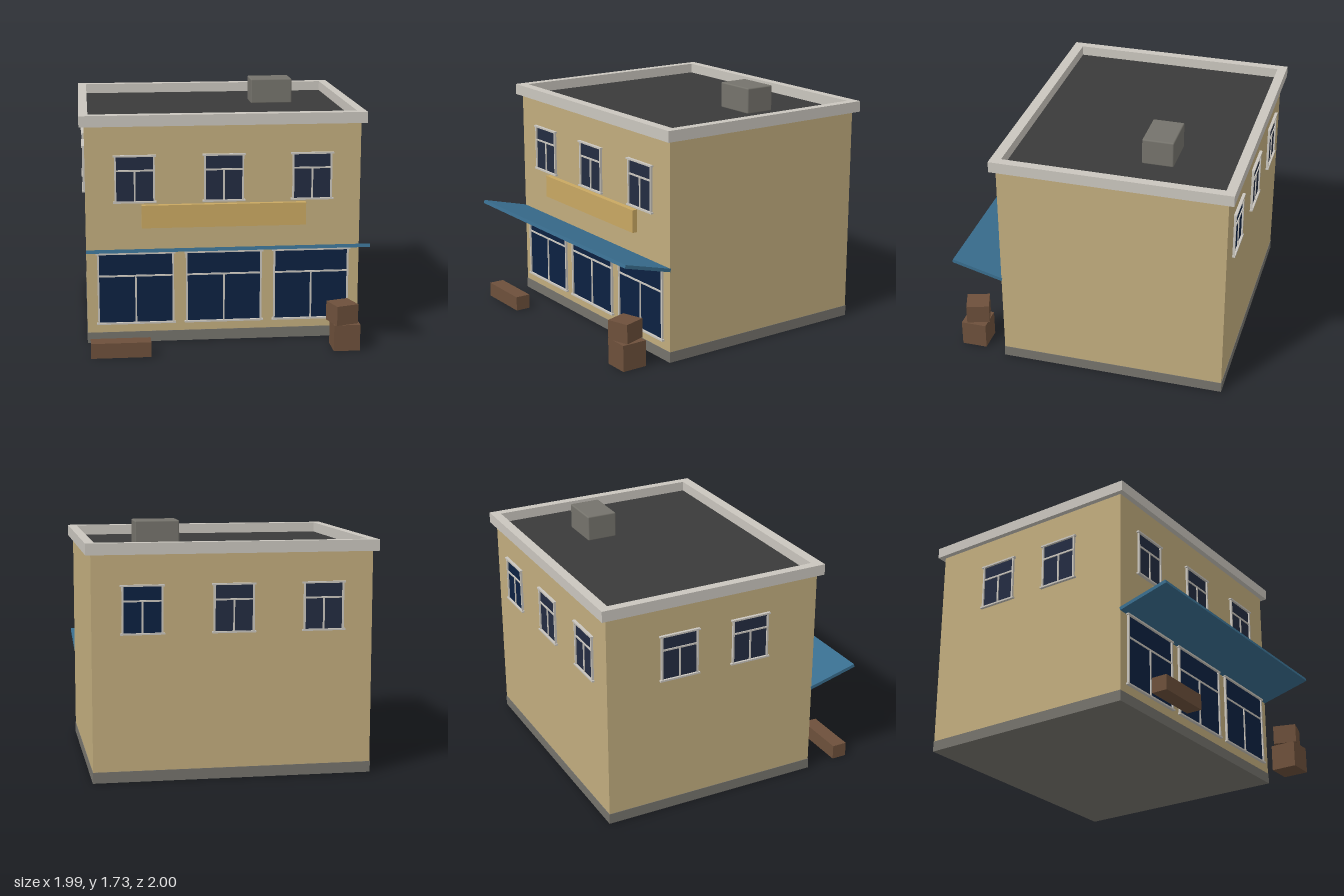
import * as THREE from 'three';
import { RoundedBoxGeometry } from 'three/addons/geometries/RoundedBoxGeometry.js';

function paint(name, color) {
  const m = new THREE.MeshStandardMaterial({ color });
  m.name = name;
  return m;
}

export function createModel() {
  const wall = paint('sand plaster', 0xc2ad7e);
  const trim = paint('pale stone', 0xcac6be);
  const tar = paint('roof tar', 0x3a3a3a);
  const grey = paint('grey concrete', 0x75736c);
  const signPaint = paint('ochre sign', 0xc9a862);
  const blue = paint('awning blue', 0x396e8f);
  const wood = paint('crate wood', 0x6d503b);
  const litGlass = paint('blue glass', 0x0c2142);
  const dimGlass = paint('slate glass', 0x232c42);

  const model = new THREE.Group();
  model.name = 'shopBuilding';

  function add(parent, name, geometry, material, x = 0, y = 0, z = 0) {
    const mesh = new THREE.Mesh(geometry, material);
    mesh.name = name;
    mesh.position.set(x, y, z);
    parent.add(mesh);
    return mesh;
  }
  // Box given by its lower and upper limits on each axis
  function box(parent, name, material, [x0, x1], [y0, y1], [z0, z1]) {
    return add(parent, name, new THREE.BoxGeometry(x1 - x0, y1 - y0, z1 - z0), material,
      (x0 + x1) / 2, (y0 + y1) / 2, (z0 + z1) / 2);
  }

  // Main body
  box(model, 'base', grey, [-0.96, 0.96], [0, 0.075], [-0.96, 0.64]);
  box(model, 'walls', wall, [-0.957, 0.957], [0.075, 1.54], [-0.957, 0.637]);
  box(model, 'roof', tar, [-0.94, 0.94], [1.53, 1.545], [-0.94, 0.61]);

  // Parapet: a rectangular ring lying on the wall tops
  const ring = new THREE.Shape([[-0.993, -0.675], [0.993, -0.675], [0.993, 0.997], [-0.993, 0.997]]
    .map(([x, y]) => new THREE.Vector2(x, y)));
  ring.holes.push(new THREE.Path([[-0.93, -0.602], [-0.93, 0.93], [0.93, 0.93], [0.93, -0.602]]
    .map(([x, y]) => new THREE.Vector2(x, y))));
  const ringGeometry = new THREE.ExtrudeGeometry(ring, { depth: 0.077, bevelEnabled: false });
  ringGeometry.rotateX(-Math.PI / 2);
  add(model, 'parapet', ringGeometry, trim, 0, 1.539, 0);

  // Roof vent with softened edges
  add(model, 'roofVent', new RoundedBoxGeometry(0.31, 0.185, 0.22, 2, 0.01), grey, 0.455, 1.633, -0.393);

  // Window facing +z, centred on x, standing on y = 0
  function makeWindow(name, halfWidth, height, glass) {
    const g = new THREE.Group();
    g.name = name;
    const bar = 0.012;
    const inner = halfWidth - bar;
    const transom = height * 0.674;
    box(g, 'glass', glass, [-inner, inner], [bar, height - bar], [-0.004, 0.004]);
    for (const s of [-1, 1]) {
      const jamb = box(g, 'jamb', trim, [inner, halfWidth], [0, height], [-0.004, 0.015]);
      jamb.position.x *= s;
    }
    box(g, 'sill', trim, [-halfWidth - 0.01, halfWidth + 0.01], [0, bar], [-0.004, 0.02]);
    box(g, 'head', trim, [-halfWidth - 0.01, halfWidth + 0.01], [height - bar, height], [-0.004, 0.02]);
    box(g, 'transom', trim, [-inner, inner], [transom - 0.006, transom + 0.006], [0, 0.011]);
    box(g, 'mullion', trim, [-0.006, 0.006], [bar, transom], [0, 0.011]);
    model.add(g);
    return g;
  }

  // Shop windows, then upper windows on the front and back
  for (const x of [-0.617, 0, 0.617]) {
    makeWindow('shopWindow', 0.267, 0.516, litGlass).position.set(x, 0.135, 0.638);
    makeWindow('frontWindow', 0.139, 0.335, dimGlass).position.set(x, 1.002, 0.638);
    const back = makeWindow('backWindow', 0.139, 0.335, x > 0.1 ? litGlass : dimGlass);
    back.position.set(x, 1.002, -0.958);
    back.rotation.y = Math.PI;
  }
  // Two windows on the right wall
  for (const z of [-0.425, 0.115]) {
    const side = makeWindow('sideWindow', 0.139, 0.335, dimGlass);
    side.position.set(-0.958, 1.002, z);
    side.rotation.y = -Math.PI / 2;
  }

  // Blank sign board
  box(model, 'signBoard', signPaint, [-0.572, 0.572], [0.828, 0.988], [0.63, 0.675]);

  // Awning, rising away from the wall
  const awning = add(model, 'awning', new THREE.BoxGeometry(1.92, 0.024, 0.375), blue, 0, 0.705, 0.815);
  awning.rotation.x = -Math.atan2(0.095, 0.36);

  // Crates on the pavement
  box(model, 'longCrate', wood, [-0.94, -0.53], [0, 0.105], [0.87, 0.98]);
  box(model, 'lowerCrate', wood, [0.728, 0.91], [0, 0.185], [0.802, 0.984]);
  const upper = add(model, 'upperCrate', new THREE.BoxGeometry(0.163, 0.136, 0.163), wood, 0.798, 0.253, 0.892);
  upper.rotation.y = 0.31;

  return model;
}
